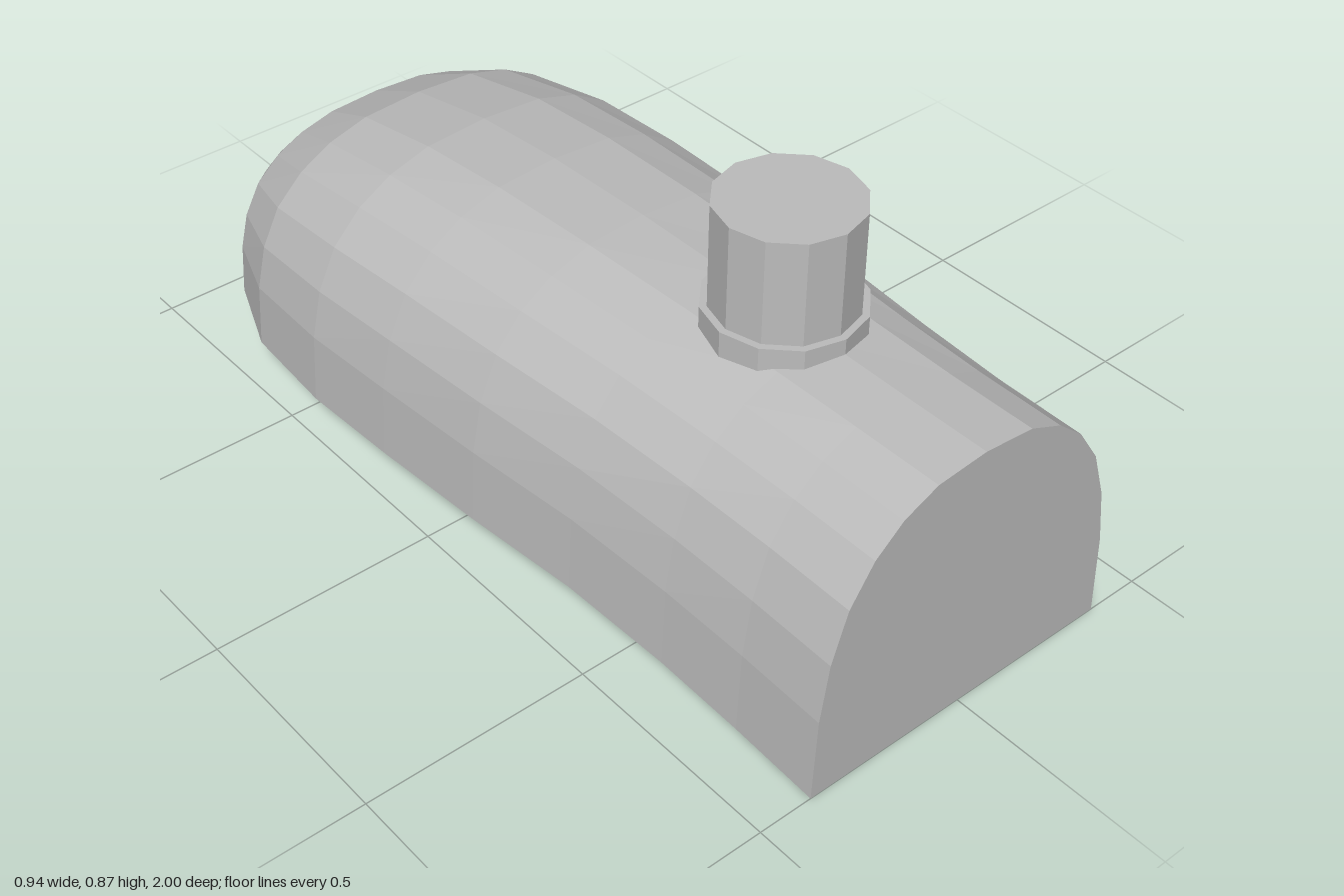
import * as THREE from 'three';

// Lofts an arched profile through stations of [z, halfWidth, bottom, top]
function loft(stations, profile) {
  const half = profile.slice(0, -1);
  const ring = [...profile, ...half.reverse().map(([x, y]) => [-x, y])];
  const n = ring.length;
  const positions = [];
  const index = [];
  for (const [z, w, bottom, top] of stations) {
    for (const [x, y] of ring) positions.push(x * w, bottom + y * (top - bottom), z);
  }
  for (let i = 0; i < stations.length - 1; i++) {
    for (let j = 0; j < n; j++) {
      const k = (j + 1) % n;
      const a = i * n + j, b = i * n + k;
      index.push(a, a + n, b + n, a, b + n, b);
    }
  }
  // End caps
  const last = (stations.length - 1) * n;
  for (let j = 1; j < n - 1; j++) {
    index.push(0, j, j + 1);
    index.push(last, last + j + 1, last + j);
  }
  const geometry = new THREE.BufferGeometry();
  geometry.setAttribute('position', new THREE.Float32BufferAttribute(positions, 3));
  geometry.setIndex(index);
  const flat = geometry.toNonIndexed();
  flat.computeVertexNormals();
  return flat;
}

export function createModel() {
  const model = new THREE.Group();
  const grey = new THREE.MeshStandardMaterial({ color: 0xbcbcbc, flatShading: true });
  grey.name = 'light grey';

  function add(name, geometry, x = 0, y = 0, z = 0) {
    const mesh = new THREE.Mesh(geometry, grey);
    mesh.name = name;
    mesh.position.set(x, y, z);
    model.add(mesh);
  }

  // Arched body with a flat underside and a rounded rear
  const arch = [
    [1, 0], [0.98, 0.31], [0.93, 0.52], [0.835, 0.7],
    [0.69, 0.835], [0.52, 0.925], [0.31, 0.982], [0, 1],
  ];
  const stations = [
    [1, 0.378, 0.003, 0.614],
    [0.8, 0.379, 0.018, 0.614],
    [0.6, 0.39, 0.042, 0.616],
    [0.35, 0.413, 0.067, 0.62],
    [0.08, 0.443, 0.073, 0.62],
    [-0.2, 0.462, 0.073, 0.611],
    [-0.44, 0.472, 0.073, 0.59],
    [-0.68, 0.455, 0.073, 0.542],
    [-0.85, 0.39, 0.09, 0.464],
    [-0.955, 0.29, 0.128, 0.37],
    [-1, 0.17, 0.175, 0.288],
  ];
  add('body', loft(stations, arch));

  // Upright spout and its collar
  add('collar', new THREE.CylinderGeometry(0.163, 0.163, 0.09, 12), 0, 0.605, 0.487);
  add('spout', new THREE.CylinderGeometry(0.148, 0.148, 0.265, 12), 0, 0.7425, 0.487);

  // Underside plate and the small catch behind it
  add('basePlate', new THREE.BoxGeometry(0.73, 0.06, 0.865), 0, 0.06, -0.3175);
  add('baseCatch', new THREE.BoxGeometry(0.18, 0.065, 0.11), 0, 0.0775, -0.817);

  return model;
}
